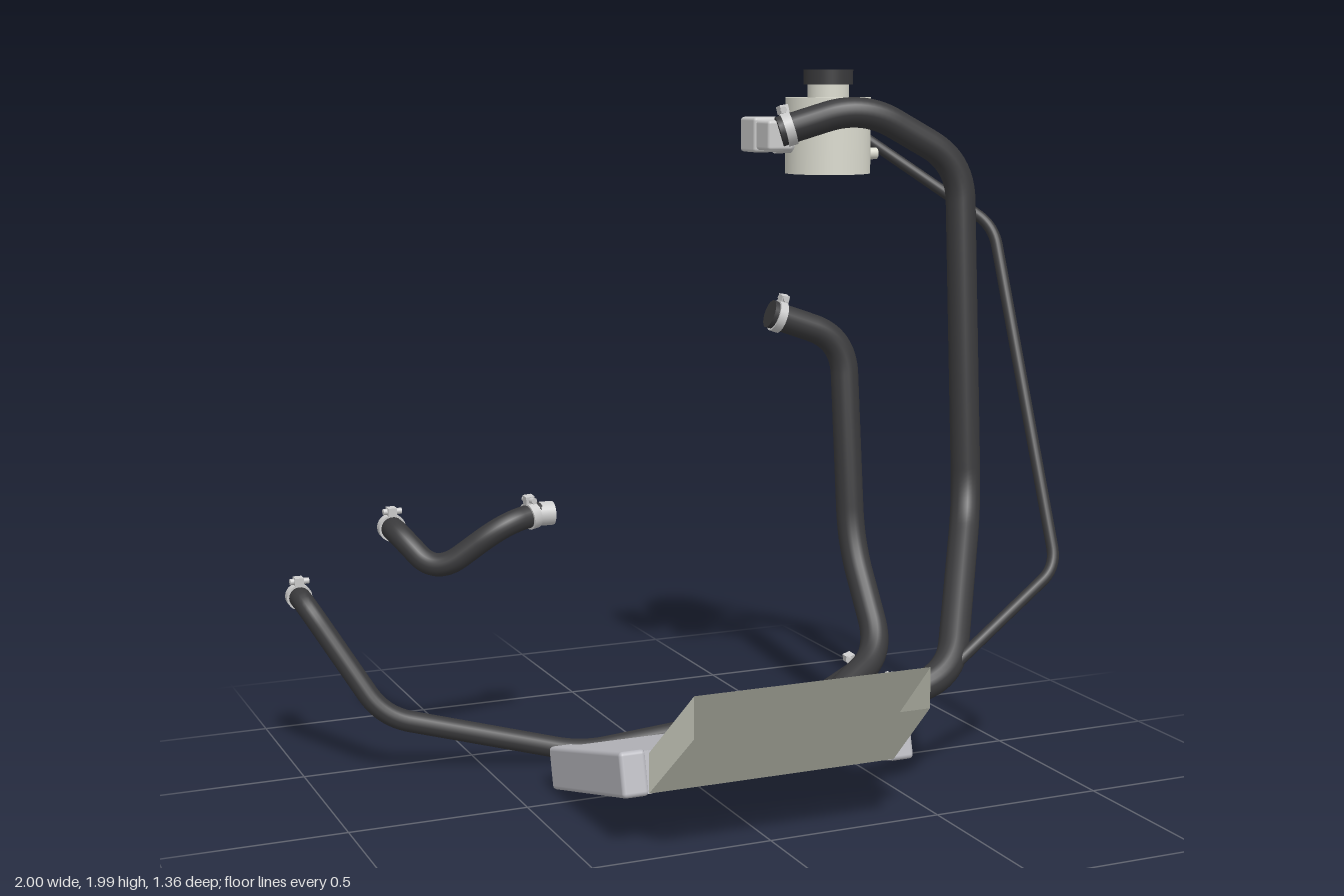
import * as THREE from 'three';
import { RoundedBoxGeometry } from 'three/addons/geometries/RoundedBoxGeometry.js';

const V = (a) => new THREE.Vector3(...a);
const mat = (color, side = THREE.FrontSide) => new THREE.MeshStandardMaterial({ color, side });
const rubber = mat(0x39393b), metal = mat(0xcccccc), alloy = mat(0xb9b9bf);
const plastic = mat(0xdadace), ductMat = mat(0xdcdecf, THREE.DoubleSide);

function add(parent, name, geometry, material, pos = [0, 0, 0]) {
  const mesh = new THREE.Mesh(geometry, material);
  mesh.name = name;
  mesh.position.set(...pos);
  parent.add(mesh);
  return mesh;
}

// Cylinder running between two points
function rod(parent, name, a, b, radius, material) {
  const d = b.clone().sub(a);
  const mesh = add(parent, name, new THREE.CylinderGeometry(radius, radius, d.length(), 24), material);
  mesh.position.copy(a).addScaledVector(d, 0.5);
  mesh.quaternion.setFromUnitVectors(new THREE.Vector3(0, 1, 0), d.normalize());
  return mesh;
}

// Straight runs joined by rounded bends
function bentPath(points, bend) {
  const path = new THREE.CurvePath();
  let from = points[0];
  for (let i = 1; i < points.length - 1; i++) {
    const p = points[i];
    const cut = (q) => p.clone().add(
      q.clone().sub(p).setLength(Math.min(bend, p.distanceTo(q) * 0.48)));
    const a = cut(points[i - 1]), b = cut(points[i + 1]);
    path.add(new THREE.LineCurve3(from, a));
    path.add(new THREE.QuadraticBezierCurve3(a, p, b));
    from = b;
  }
  path.add(new THREE.LineCurve3(from, points[points.length - 1]));
  return path;
}

// Band clamp with a screw housing on top
function clamp(parent, center, direction, radius) {
  const g = new THREE.Group();
  g.name = 'hoseClamp';
  const d = direction.clone().normalize();
  const h = d.clone().multiplyScalar(0.013);
  rod(g, 'clampBand', center.clone().sub(h), center.clone().add(h), radius + 0.006, metal);
  const up = new THREE.Vector3(0, 1, 0).addScaledVector(d, -d.y).normalize();
  const side = new THREE.Vector3().crossVectors(d, up);
  const at = center.clone().addScaledVector(up, radius + 0.014);
  const box = add(g, 'clampHousing', new THREE.BoxGeometry(0.026, 0.024, 0.03), metal);
  box.position.copy(at);
  box.quaternion.setFromRotationMatrix(new THREE.Matrix4().makeBasis(side, up, d.clone()));
  rod(g, 'clampScrew', at.clone().addScaledVector(side, -0.03), at.clone().addScaledVector(side, 0.025), 0.009, metal);
  parent.add(g);
}

// Capped tube, with clamps at the chosen ends
function hose(parent, name, pts, radius, bend, clampStart, clampEnd) {
  const g = new THREE.Group();
  g.name = name;
  const points = pts.map(V), n = points.length;
  add(g, name + 'Tube', new THREE.TubeGeometry(bentPath(points, bend), 140, radius, 18), rubber);
  [[points[0], points[1], clampStart], [points[n - 1], points[n - 2], clampEnd]].forEach(([end, next, on]) => {
    const d = next.clone().sub(end).normalize();
    rod(g, name + 'End', end, end.clone().addScaledVector(d, 0.01), radius * 1.01, rubber);
    if (on) clamp(g, end.clone().addScaledVector(d, 0.028), d, radius);
  });
  parent.add(g);
}

export function createModel() {
  const model = new THREE.Group();
  model.name = 'coolingSystem';

  // Tilted radiator: core, slats underneath, tanks at both sides
  const radiator = new THREE.Group();
  radiator.name = 'radiator';
  radiator.position.set(0.035, 0.14, 0.153);
  radiator.rotation.x = -0.26;
  add(radiator, 'core', new THREE.BoxGeometry(0.72, 0.092, 0.55), alloy, [0, 0.009, 0]);
  for (let i = 0; i < 20; i++) {
    add(radiator, 'coolingSlat', new THREE.BoxGeometry(0.7, 0.016, 0.015), alloy,
      [0, -0.044, -0.266 + i * 0.028]);
  }
  for (const s of [-1, 1]) {
    add(radiator, 'tank', new RoundedBoxGeometry(0.074, 0.12, 0.565, 3, 0.012), alloy, [s * 0.388, 0, 0]);
    add(radiator, 'tankFlange', new THREE.BoxGeometry(0.012, 0.112, 0.558), alloy, [s * 0.35, 0, 0]);
  }
  model.add(radiator);

  // Air duct: four thin walls, open at front and back
  const ring = (x0, x1, y0, y1, z) => [[x0, y0, z], [x1, y0, z], [x1, y1, z], [x0, y1, z]];
  const back = ring(-0.32, 0.395, 0.16, 0.268, 0.44), front = ring(-0.297, 0.367, 0.372, 0.482, 0.68);
  const walls = [];
  for (let i = 0; i < 4; i++) {
    const j = (i + 1) % 4;
    walls.push(...back[i], ...back[j], ...front[j], ...back[i], ...front[j], ...front[i]);
  }
  const ductGeo = new THREE.BufferGeometry();
  ductGeo.setAttribute('position', new THREE.Float32BufferAttribute(walls, 3));
  ductGeo.computeVertexNormals();
  add(model, 'airDuct', ductGeo, ductMat);

  // Expansion tank with neck, cap and nozzle
  const tank = new THREE.Group();
  tank.name = 'expansionTank';
  tank.position.set(0.563, 0, -0.32);
  const cyl = (r, y0, y1) => new THREE.CylinderGeometry(r, r, y1 - y0, 40).translate(0, (y0 + y1) / 2, 0);
  add(tank, 'tankBody', cyl(0.125, 1.7, 1.92), plastic);
  add(tank, 'fillerNeck', cyl(0.06, 1.92, 1.96), plastic);
  add(tank, 'fillerCap', cyl(0.072, 1.957, 2), rubber);
  rod(tank, 'overflowNozzle', V([0.1, 1.755, 0]), V([0.16, 1.755, 0]), 0.017, plastic);
  model.add(tank);

  // Elbow housing beside the tank
  const elbow = new THREE.Group();
  elbow.name = 'elbowHousing';
  add(elbow, 'elbowBlock', new RoundedBoxGeometry(0.1, 0.1, 0.1, 2, 0.01), metal, [0.355, 1.815, -0.325]);
  add(elbow, 'elbowOutlet', new RoundedBoxGeometry(0.08, 0.085, 0.1, 2, 0.01), metal, [0.352, 1.815, -0.245]);
  rod(elbow, 'tankLink', V([0.39, 1.79, -0.32]), V([0.46, 1.79, -0.32]), 0.03, metal);
  model.add(elbow);

  // Hoses
  hose(model, 'upperHose', [[0.35, 1.825, -0.205], [0.575, 1.9, -0.125], [0.875, 1.735, -0.09],
    [0.875, 0.74, -0.015], [0.61, 0.355, 0.37], [0.42, 0.3, 0.355]], 0.043, 0.11, true, true);
  hose(model, 'lowerHose', [[0.49, 1.265, -0.555], [0.73, 1.18, -0.53], [0.73, 0.55, -0.46],
    [0.725, 0.25, -0.25], [0.43, 0.145, -0.08]], 0.043, 0.11, true, true);
  hose(model, 'overflowHose', [[0.7, 1.81, -0.38], [0.98, 1.55, -0.07], [0.98, 0.61, 0.31],
    [0.63, 0.38, 0.36]], 0.017, 0.06, false, false);
  hose(model, 'heaterHose', [[-0.965, 0.5, -0.68], [-0.965, 0.495, -0.58], [-0.78, 0.175, -0.44],
    [-0.22, 0.033, -0.325], [0.5, 0.09, -0.315], [0.66, 0.225, -0.225]], 0.031, 0.08, true, true);
  hose(model, 'bypassHose', [[-0.685, 0.68, -0.68], [-0.685, 0.675, -0.58], [-0.6, 0.565, -0.49],
    [-0.42, 0.71, -0.415], [-0.3, 0.73, -0.445]], 0.034, 0.09, true, true);

  // Metal stubs joining hoses to their fittings
  rod(model, 'bypassConnector', V([-0.325, 0.727, -0.443]), V([-0.26, 0.727, -0.443]), 0.035, metal);
  rod(model, 'upperInlet', V([0.45, 0.295, 0.355]), V([0.405, 0.22, 0.335]), 0.036, alloy);
  rod(model, 'lowerOutlet', V([0.45, 0.15, -0.085]), V([0.405, 0.08, -0.06]), 0.036, alloy);

  return model;
}
